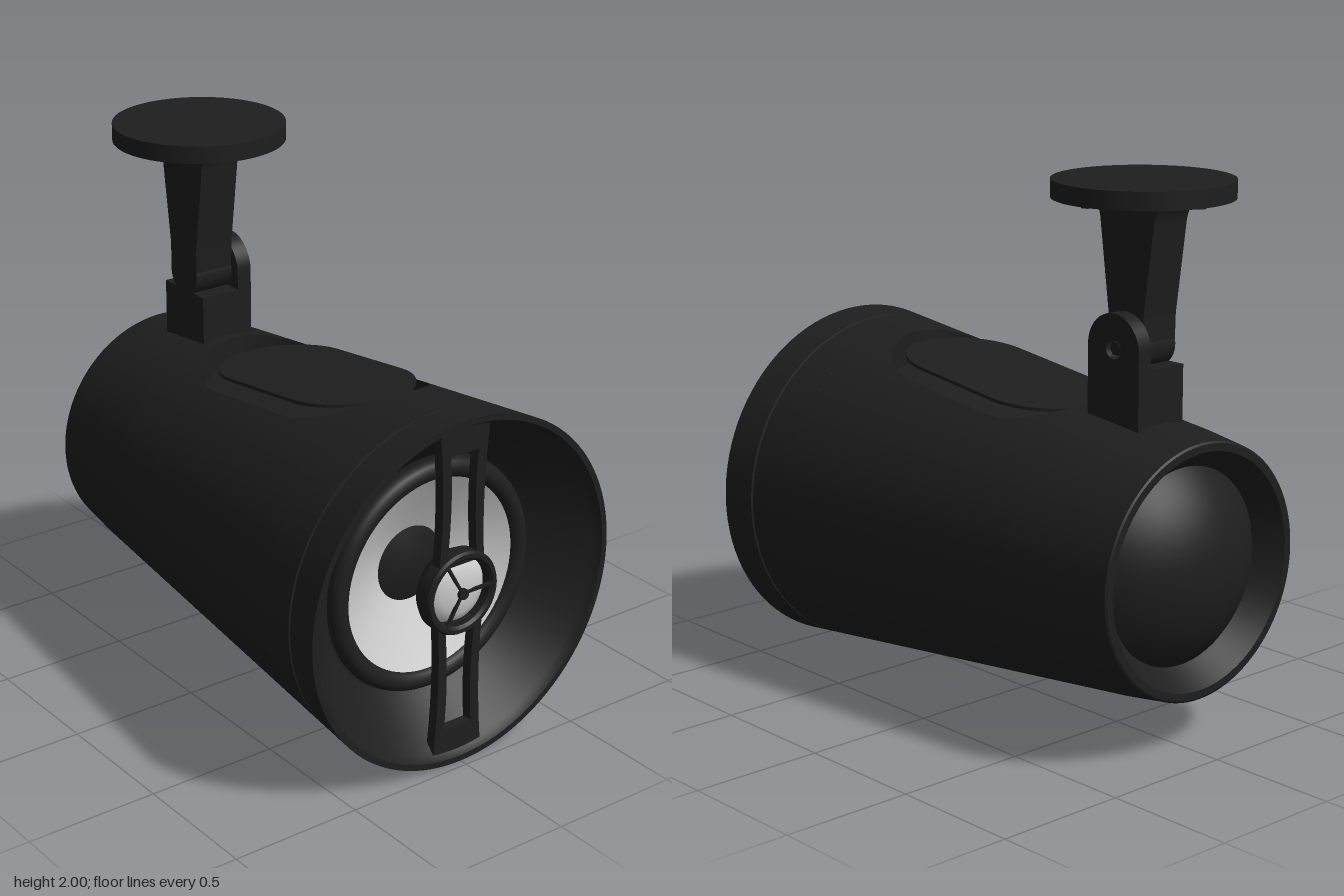
import * as THREE from 'three';
import { toCreasedNormals } from 'three/addons/utils/BufferGeometryUtils.js';

const black = new THREE.MeshStandardMaterial({ color: 0x1e1e1e, side: THREE.DoubleSide });
const silver = new THREE.MeshStandardMaterial({ color: 0xcccccc, side: THREE.DoubleSide });
const AXIS = 0.665;                                   // height of the housing's axis
const radius = z => 0.663 - 0.1024 * (0.97 - z);      // taper of the housing
const HOLE = { z: 0.095, straight: 0.205, r: 0.29 };  // rounded opening on top
const PATCH = { z: 0.095, half: 0.56, angle: 0.8 };   // skin area around the opening

function add(parent, name, geometry, material = black, x = 0, y = 0, z = 0) {
  const mesh = new THREE.Mesh(geometry, material);
  mesh.name = name;
  mesh.position.set(x, y, z);
  parent.add(mesh);
  return mesh;
}

// Revolve [radius, z] points around the z axis
function turn(points, start = 0, length = Math.PI * 2, segments = 96) {
  const g = new THREE.LatheGeometry(points.map(p => new THREE.Vector2(...p)), segments, start, length);
  return toCreasedNormals(g.rotateX(Math.PI / 2), 0.5);
}

// Surface through equal-length rows of points
function loft(rows) {
  const n = rows[0].length, index = [];
  for (let j = 0; j < rows.length - 1; j++) {
    for (let i = 0; i < n - 1; i++) {
      const a = j * n + i, b = a + n;
      index.push(a, a + 1, b, a + 1, b + 1, b);
    }
  }
  const g = new THREE.BufferGeometry();
  g.setAttribute('position', new THREE.Float32BufferAttribute(rows.flat(2), 3));
  g.setIndex(index);
  g.computeVertexNormals();
  return g;
}

// Matching outlines: the rounded opening [x, z] and its surrounding patch [angle, z]
function openingLoops() {
  const inner = [], outer = [], steps = 24;
  for (let side = 0; side < 4; side++) {
    const sign = side < 2 ? 1 : -1;
    for (let i = 0; i < steps; i++) {
      const u = -1 + 2 * i / steps;
      if (side % 2 === 0) {
        inner.push([sign * HOLE.r, HOLE.z + sign * u * HOLE.straight]);
        outer.push([sign * PATCH.angle, PATCH.z + sign * u * PATCH.half]);
      } else {
        const a = (u + 1) * Math.PI / 2;
        inner.push([sign * HOLE.r * Math.cos(a), HOLE.z + sign * (HOLE.straight + HOLE.r * Math.sin(a))]);
        outer.push([-sign * u * PATCH.angle, PATCH.z + sign * PATCH.half]);
      }
    }
  }
  inner.push(inner[0]);
  outer.push(outer[0]);
  return { inner, outer };
}

function stadium(r, straight) {
  const s = new THREE.Shape();
  s.absarc(0, straight, r, 0, Math.PI);
  s.absarc(0, -straight, r, Math.PI, Math.PI * 2);
  s.closePath();
  return s;
}

function extrude(shape, depth, extra = {}) {
  return new THREE.ExtrudeGeometry(shape, { depth, bevelEnabled: false, curveSegments: 24, ...extra });
}

function buildHousing() {
  const g = new THREE.Group();
  g.name = 'housing';
  g.position.y = AXIS;
  const zBack = PATCH.z - PATCH.half, zFront = PATCH.z + PATCH.half;

  // Rear end with recessed dome
  const dome = [];
  for (let i = 0; i <= 12; i++) {
    const r = 0.36 * i / 12;
    dome.push([r, -0.965 + 0.508 - Math.sqrt(0.508 ** 2 - r * r)]);
  }
  add(g, 'rearDome', turn(dome));
  add(g, 'rearShell', turn([[0.36, -0.815], [0.43, -0.91], [0.458, -0.91], [0.465, -0.905],
    [radius(-0.74), -0.74], [radius(zBack), zBack]]));
  add(g, 'middleShell', turn([[radius(zBack), zBack], [radius(zFront), zFront]],
    Math.PI + PATCH.angle, Math.PI * 2 - 2 * PATCH.angle));

  // Front shell with seam, rim and funnel down to the driver
  add(g, 'frontShell', turn([[radius(zFront), zFront], [radius(0.815), 0.815], [radius(0.82) - 0.01, 0.817],
    [radius(0.82) - 0.01, 0.825], [radius(0.827), 0.827], [0.663, 0.97], [0.64, 0.97], [0.63, 0.95],
    [0.62, 0.94], [0.47, 0.77], [0.45, 0.755], [0.36, 0.755]]));

  // Skin around the top opening
  const { inner, outer } = openingLoops();
  const rows = [];
  for (let j = 0; j <= 8; j++) {
    rows.push(inner.map(([x, z], i) => {
      const t = j / 8;
      const zz = THREE.MathUtils.lerp(z, outer[i][1], t);
      const a = THREE.MathUtils.lerp(Math.asin(x / radius(z)), outer[i][0], t);
      return [radius(zz) * Math.sin(a), radius(zz) * Math.cos(a), zz];
    }));
  }
  add(g, 'topSkin', loft(rows));

  // Pocket below the opening and the flat cover plate over it
  const floorY = z => 0.455 + 0.1 * (z - HOLE.z);
  const floor = inner.map(([x, z]) => [x, floorY(z), z]);
  add(g, 'pocketWall', loft([floor, rows[0]]));
  add(g, 'pocketFloor', loft([floor.map(() => [0, floorY(HOLE.z), HOLE.z]), floor]));
  const plate = add(g, 'coverPlate', extrude(stadium(0.245, 0.19), 0.012).rotateX(Math.PI / 2),
    black, 0, 0.543, 0.105);
  plate.rotation.x = -0.122;
  return g;
}

function buildDriver() {
  const g = new THREE.Group();
  g.name = 'driver';
  g.position.y = AXIS;
  add(g, 'surround', new THREE.TorusGeometry(0.405, 0.038, 16, 80), black, 0, 0, 0.77);
  add(g, 'cone', turn([[0.14, 0.66], [0.25, 0.71], [0.375, 0.785]]), silver);
  add(g, 'dustCap', turn([[0, 0.69], [0.07, 0.683], [0.145, 0.66]]));

  // Small centre driver in its ring
  add(g, 'tweeterRing', turn([[0, 0.87], [0.14, 0.87], [0.157, 0.9], [0.157, 0.95], [0.15, 0.96],
    [0.135, 0.96], [0.125, 0.95], [0.125, 0.91]]));
  add(g, 'tweeterDome', turn([[0.128, 0.91], [0.11, 0.93], [0.08, 0.942], [0.04, 0.949], [0, 0.95]]), silver);
  add(g, 'tweeterHub', new THREE.CylinderGeometry(0.02, 0.02, 0.02, 24).rotateX(Math.PI / 2), black, 0, 0, 0.955);
  for (let i = 0; i < 3; i++) {
    const spoke = add(g, 'tweeterSpoke', new THREE.BoxGeometry(0.13, 0.01, 0.012).translate(0.068, 0, 0),
      black, 0, 0, 0.951);
    spoke.rotation.z = i * Math.PI * 2 / 3;
  }

  // Upper and lower two-rail struts carrying the centre driver
  const shape = new THREE.Shape();
  shape.moveTo(0.1, 0.11);
  shape.quadraticCurveTo(0.08, 0.36, 0.11, 0.635);
  shape.lineTo(-0.11, 0.635);
  shape.quadraticCurveTo(-0.08, 0.36, -0.1, 0.11);
  const window_ = new THREE.Path();
  window_.moveTo(0.065, 0.14);
  window_.lineTo(-0.065, 0.14);
  window_.quadraticCurveTo(-0.045, 0.36, -0.062, 0.53);
  window_.lineTo(0.062, 0.53);
  window_.quadraticCurveTo(0.045, 0.36, 0.065, 0.14);
  shape.holes.push(window_);
  for (const turnAngle of [0, Math.PI]) {
    const strut = add(g, 'strut', extrude(shape, 0.04), black, 0, 0, 0.905);
    strut.rotation.z = turnAngle;
  }
  return g;
}

function buildMount() {
  const g = new THREE.Group();
  g.name = 'mount';
  g.position.z = -0.575;
  const pivot = 1.42, cx = -0.03;

  // Bracket on the housing: base block and rounded side tab
  add(g, 'bracketBase', new THREE.BoxGeometry(0.22, 0.255, 0.25), black, 0, 1.2275, 0);
  const tab = new THREE.Shape();
  tab.moveTo(-0.125, 1.1);
  tab.lineTo(0.125, 1.1);
  tab.absarc(0, pivot, 0.125, 0, Math.PI);
  const hole = new THREE.Path();
  hole.absarc(0, pivot, 0.036, 0, Math.PI * 2, true);
  tab.holes.push(hole);
  add(g, 'bracketTab', extrude(tab, 0.06).rotateY(Math.PI / 2), black, 0.05);
  const axle = r => new THREE.CylinderGeometry(r, r, 1, 40).rotateZ(Math.PI / 2);
  add(g, 'knuckle', axle(0.085), black, cx, pivot, 0).scale.x = 0.16;
  add(g, 'bolt', new THREE.CylinderGeometry(0.026, 0.026, 0.05, 6).rotateZ(Math.PI / 2), black, 0.075, pivot, 0);

  // Tapered arm flaring into the ceiling disc
  const arm = new THREE.Shape();
  arm.moveTo(-0.082, pivot);
  arm.lineTo(0.082, pivot);
  arm.lineTo(0.085, 1.53);
  arm.lineTo(0.13, 1.86);
  arm.quadraticCurveTo(0.14, 1.91, 0.175, 1.94);
  arm.lineTo(-0.175, 1.94);
  arm.quadraticCurveTo(-0.14, 1.91, -0.13, 1.86);
  arm.lineTo(-0.085, 1.53);
  add(g, 'arm', extrude(arm, 0.16).rotateY(Math.PI / 2), black, -0.11);
  add(g, 'ceilingDisc', new THREE.CylinderGeometry(0.322, 0.322, 0.065, 80), black, cx, 1.9675, 0);
  for (let i = 0; i < 4; i++) {
    const a = i * Math.PI / 2;
    add(g, 'discScrew', new THREE.CylinderGeometry(0.02, 0.02, 0.02, 20), black,
      cx + 0.27 * Math.cos(a), 1.935, 0.27 * Math.sin(a));
  }
  return g;
}

export function createModel() {
  const model = new THREE.Group();
  model.name = 'ceilingSpeaker';
  model.add(buildHousing(), buildDriver(), buildMount());
  return model;
}
